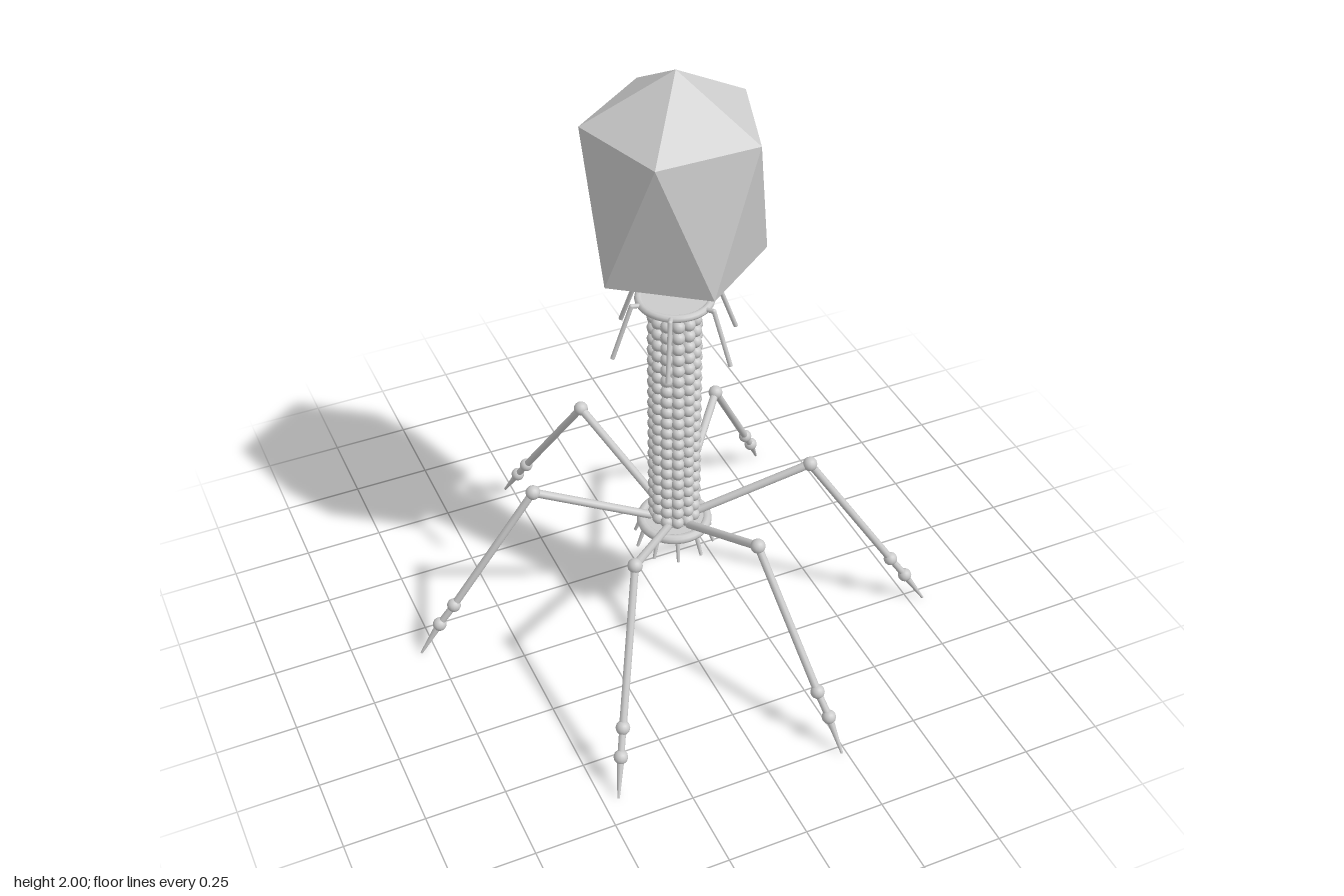
import * as THREE from 'three';

const smooth = new THREE.MeshStandardMaterial({ color: 0xcccccc });
const faceted = new THREE.MeshStandardMaterial({ color: 0xcccccc, flatShading: true });
const V = (x, y, z) => new THREE.Vector3(x, y, z);

// offset of the body axis from the middle of the leg spread
const AX = 0.03, AZ = -0.01;
const polar = (r, y, a) => V(r * Math.cos(a), y, r * Math.sin(a));

function mesh(name, geometry, parent, position, material = smooth) {
  const m = new THREE.Mesh(geometry, material);
  m.name = name;
  if (position) m.position.copy(position);
  parent.add(m);
  return m;
}

// straight round rod from a to b
function rod(name, a, b, ra, rb, parent) {
  const dir = b.clone().sub(a);
  const m = mesh(name, new THREE.CylinderGeometry(rb, ra, dir.length(), 10), parent, a.clone().lerp(b, 0.5));
  m.quaternion.setFromUnitVectors(V(0, 1, 0), dir.normalize());
}

function ball(name, r, p, parent) {
  mesh(name, new THREE.SphereGeometry(r, 14, 10), parent, p);
}

// elongated icosahedron: two apexes and two staggered rings of five
function headGeometry() {
  const R = 0.266, top = V(0, 2, 0), bottom = V(0, 1.26, 0), pos = [];
  const step = Math.PI * 2 / 5;
  const up = i => V(R * Math.sin(Math.PI + i * step), 1.84, R * Math.cos(Math.PI + i * step));
  const low = i => V(R * Math.sin(Math.PI + (i + 0.5) * step), 1.41, R * Math.cos(Math.PI + (i + 0.5) * step));
  const tri = (...pts) => pts.forEach(p => pos.push(p.x, p.y, p.z));
  for (let i = 0; i < 5; i++) {
    tri(top, up(i), up(i + 1));
    tri(up(i), low(i), up(i + 1));
    tri(low(i), low(i + 1), up(i + 1));
    tri(bottom, low(i + 1), low(i));
  }
  const g = new THREE.BufferGeometry();
  g.setAttribute('position', new THREE.Float32BufferAttribute(pos, 3));
  g.computeVertexNormals();
  return g;
}

// round-edged plate
function plate(name, y, R, tube, parent) {
  const g = new THREE.Group();
  g.name = name;
  g.position.y = y;
  mesh(name + 'Disc', new THREE.CylinderGeometry(R, R, tube * 1.4, 32), g);
  mesh(name + 'Rim', new THREE.TorusGeometry(R, tube, 10, 36), g).rotation.x = Math.PI / 2;
  parent.add(g);
}

export function createModel() {
  const model = new THREE.Group();
  const body = new THREE.Group();
  body.name = 'body';
  body.position.set(AX, 0, AZ);
  model.add(body);

  mesh('head', headGeometry(), body, null, faceted);
  plate('collar', 1.252, 0.107, 0.012, body);
  plate('basePlate', 0.395, 0.103, 0.016, body);

  // tail: core tube wrapped in stacked rings of beads
  mesh('tailCore', new THREE.CylinderGeometry(0.064, 0.064, 0.85, 24), body, V(0, 0.825, 0));
  const rows = 21, columns = 12;
  const bead = new THREE.SphereGeometry(0.0205, 12, 8);
  const sheath = new THREE.Group();
  sheath.name = 'tailSheath';
  body.add(sheath);
  for (let r = 0; r < rows; r++) {
    for (let c = 0; c < columns; c++) {
      mesh('bead', bead, sheath, polar(0.064, 0.43 + r * 0.04, (c + 0.5) * Math.PI * 2 / columns));
    }
  }

  // bent whiskers hanging from the collar
  for (let i = 0; i < 6; i++) {
    const a = i * Math.PI / 3;
    const whisker = new THREE.Group();
    whisker.name = 'whisker';
    const bend = polar(0.138, 1.26, a);
    rod('whiskerRoot', polar(0.09, 1.25, a), bend, 0.007, 0.007, whisker);
    rod('whiskerEnd', bend, polar(0.2, 1.09, a), 0.007, 0.007, whisker);
    ball('whiskerBend', 0.007, bend, whisker);
    body.add(whisker);
  }

  // short spikes under the base plate
  for (let i = 0; i < 10; i++) {
    const a = i * Math.PI / 5;
    rod('baseSpike', polar(0.1, 0.395, a), polar(0.127, 0.32, a), 0.008, 0.005, body);
  }

  // legs as x, z of knee, upper ankle, lower ankle and tip
  const legs = [
    [-0.115, -0.427, -0.227, -0.68, -0.244, -0.726, -0.274, -0.786],
    [0.32, -0.325, 0.53, -0.513, 0.568, -0.543, 0.615, -0.59],
    [0.436, 0.124, 0.688, 0.244, 0.735, 0.265, 0.797, 0.29],
    [0.12, 0.397, 0.2, 0.667, 0.218, 0.714, 0.235, 0.778],
    [-0.248, 0.325, -0.393, 0.56, -0.419, 0.603, -0.453, 0.662],
    [-0.406, -0.103, -0.68, -0.132, -0.73, -0.141, -0.797, -0.145],
  ];
  const heights = [0.58, 0.182, 0.11, 0.005];
  for (const l of legs) {
    const leg = new THREE.Group();
    leg.name = 'leg';
    const [knee, ankle, foot, tip] = heights.map((y, i) => V(l[2 * i], y, l[2 * i + 1]));
    const root = polar(0.075, 0.42, Math.atan2(knee.z - AZ, knee.x - AX)).add(V(AX, 0, AZ));
    rod('upperLeg', root, knee, 0.013, 0.013, leg);
    rod('lowerLeg', knee, ankle, 0.012, 0.012, leg);
    rod('ankle', ankle, foot, 0.011, 0.011, leg);
    rod('toe', foot, tip, 0.012, 0.004, leg);
    ball('kneeJoint', 0.023, knee, leg);
    ball('ankleJoint', 0.022, ankle, leg);
    ball('toeJoint', 0.022, foot, leg);
    model.add(leg);
  }
  return model;
}
